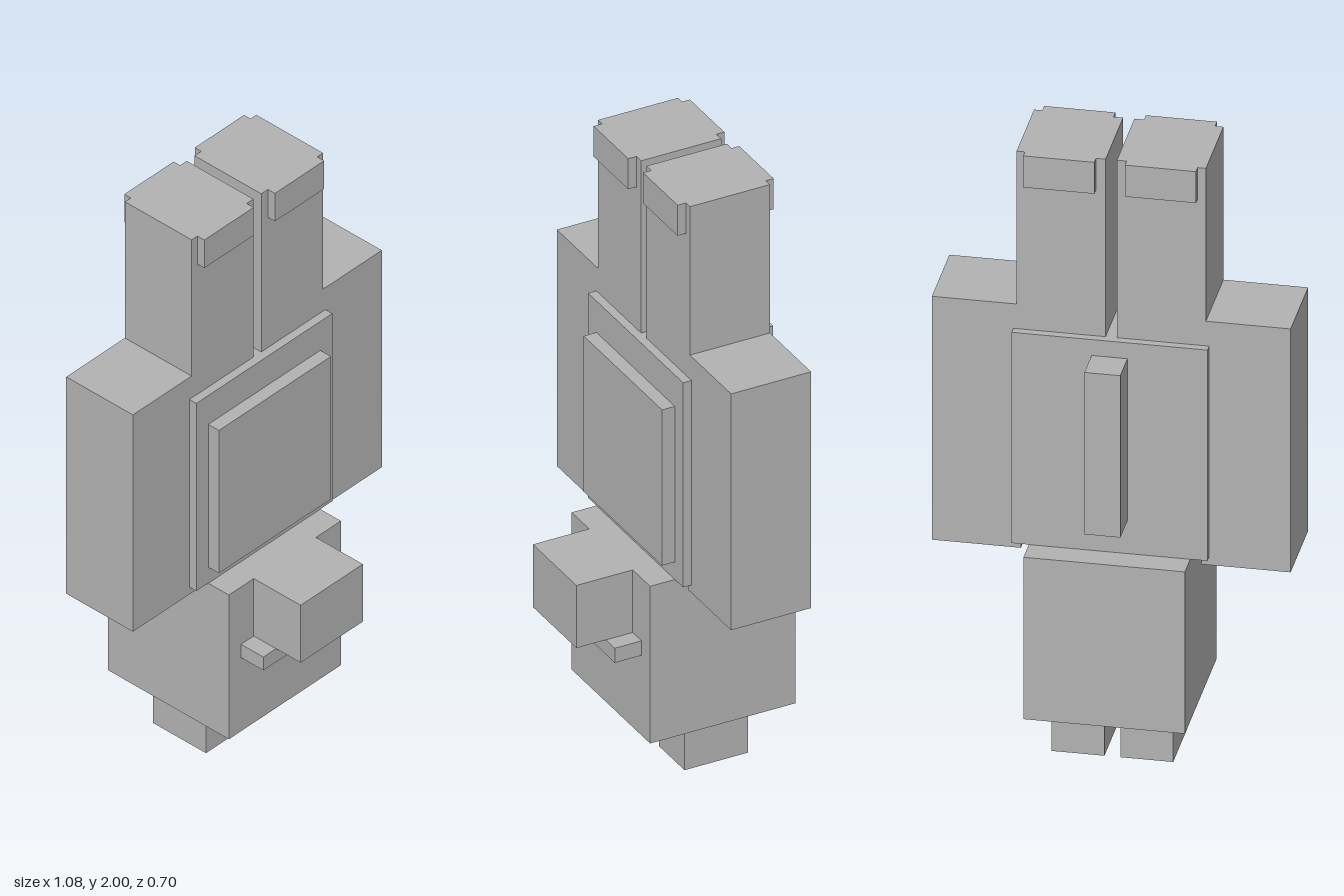
import * as THREE from 'three';

const grey = new THREE.MeshStandardMaterial({ name: 'grey', color: 0xb2b2b2 });

// Box given by its limits along each axis
function block(name, [x0, x1], [y0, y1], [z0, z1]) {
  const mesh = new THREE.Mesh(new THREE.BoxGeometry(x1 - x0, y1 - y0, z1 - z0), grey);
  mesh.position.set((x0 + x1) / 2, (y0 + y1) / 2, (z0 + z1) / 2);
  mesh.name = name;
  return mesh;
}

export function createModel() {
  const model = new THREE.Group();
  model.name = 'upsideDownFigure';

  // Centre line parts; the figure hangs head down
  model.add(
    block('head', [-0.243, 0.243], [0.165, 0.705], [-0.325, 0.163]),
    block('snout', [-0.135, 0.135], [0.49, 0.705], [0.163, 0.352]),
    block('jaw', [-0.19, 0.19], [0.44, 0.49], [0.163, 0.253]),
    block('torso', [-0.295, 0.295], [0.705, 1.408], [-0.243, 0.08]),
    block('chestPanel', [-0.243, 0.243], [0.765, 1.3], [0.08, 0.123]),
    block('backFin', [-0.054, 0.054], [0.815, 1.355], [-0.353, -0.243]),
  );

  // Paired parts, mirrored across x
  for (const [side, s] of [['left', 1], ['right', -1]]) {
    const span = (a, b) => (s > 0 ? [a, b] : [-b, -a]);
    model.add(
      block(side + 'Ear', span(0.024, 0.183), [0, 0.165], [-0.199, 0.015]),
      block(side + 'Arm', span(0.272, 0.54), [0.678, 1.49], [-0.217, 0.052]),
      block(side + 'Leg', span(0.017, 0.285), [1.4, 2], [-0.217, 0.052]),
      block(side + 'FrontToe', span(0.046, 0.26), [1.895, 2], [0.052, 0.08]),
      block(side + 'BackToe', span(0.046, 0.26), [1.895, 2], [-0.243, -0.217]),
    );
  }
  return model;
}
